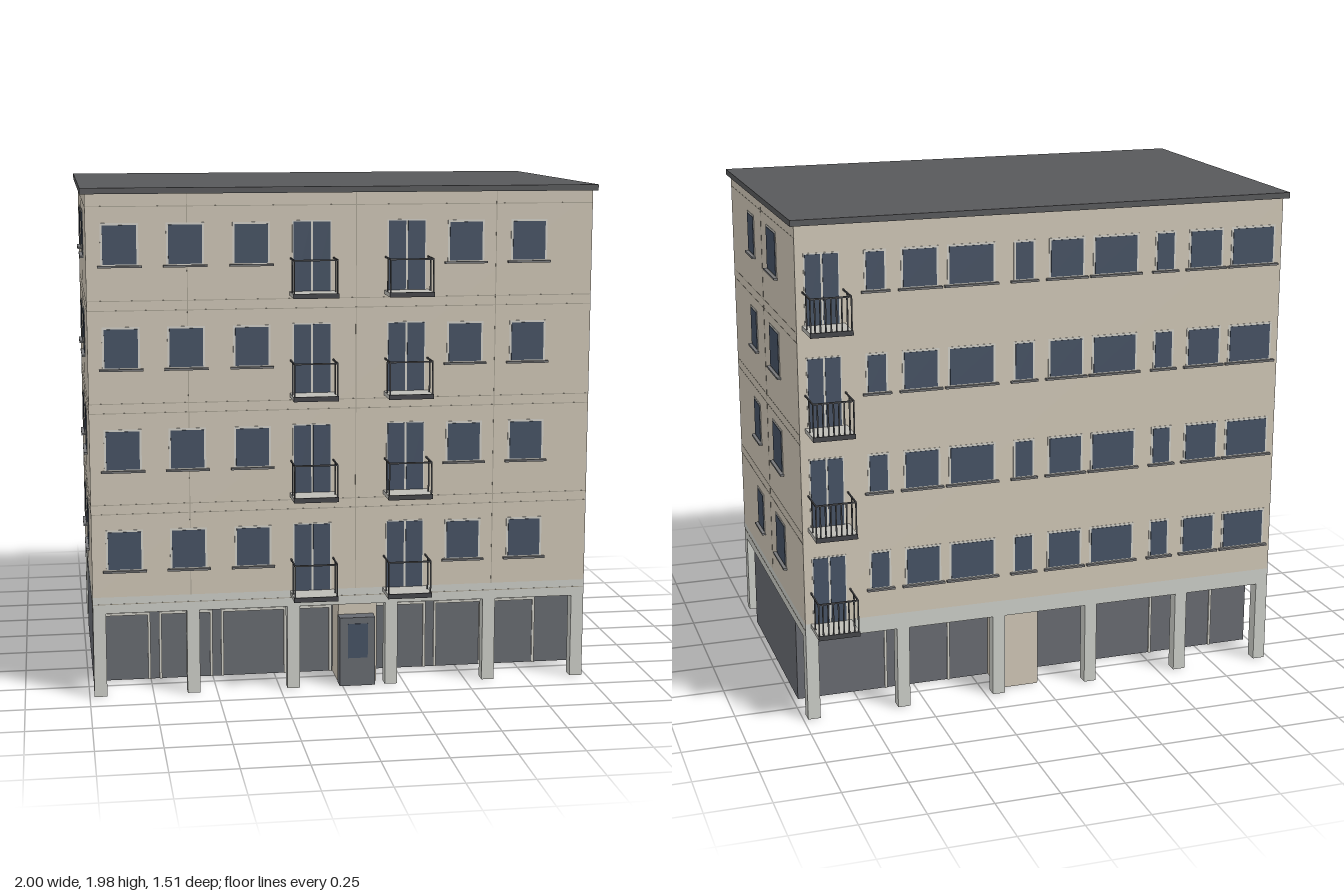
import * as THREE from 'three';

const mat = (color, side = THREE.FrontSide) => new THREE.MeshStandardMaterial({ color, side });
const M = {
  wall: mat(0xcfc6b6), base: mat(0xcccec8), shop: mat(0x686b71, THREE.DoubleSide), roof: mat(0x58595b),
  glass: mat(0x465264), frame: mat(0xd2d0c8), sill: mat(0x77787a), rail: mat(0x4c4d50),
  slab: mat(0xbdbcb6), seam: mat(0xaba596), dark: mat(0x45464a),
};
const HX = 0.982, ZF = 0.635, ZB = -0.62, FLOOR = 0.394, LEVELS = 4;

// Box given by its min / max limits on each axis
function box(parent, name, m, x0, x1, y0, y1, z0, z1) {
  const mesh = new THREE.Mesh(new THREE.BoxGeometry(x1 - x0, y1 - y0, z1 - z0), m);
  mesh.position.set((x0 + x1) / 2, (y0 + y1) / 2, (z0 + z1) / 2);
  mesh.name = name;
  parent.add(mesh);
  return mesh;
}

// Group whose local xy plane lies on a facade, +z pointing outwards
function facade(root, name, x, z, turn) {
  const g = new THREE.Group();
  g.name = name;
  g.position.set(x, 0, z);
  g.rotation.y = turn;
  root.add(g);
  return g;
}

// Framed window with a projecting sill
function windowUnit(g, u0, u1, y0, y1) {
  box(g, 'windowFrame', M.frame, u0 - 0.008, u1 + 0.008, y0 - 0.004, y1 + 0.008, -0.01, 0.002);
  box(g, 'windowGlass', M.glass, u0, u1, y0, y1, -0.01, 0.004);
  box(g, 'windowSill', M.sill, u0 - 0.02, u1 + 0.02, y0 - 0.012, y0 - 0.004, -0.01, 0.015);
}

// Double balcony door
function balconyDoor(g, u0, u1, y0, y1) {
  const mid = (u0 + u1) / 2;
  box(g, 'doorFrame', M.frame, u0 - 0.005, u1 + 0.005, y0, y1 + 0.005, -0.01, 0.002);
  box(g, 'doorGlass', M.glass, u0, mid - 0.004, y0, y1, -0.01, 0.004);
  box(g, 'doorGlass', M.glass, mid + 0.004, u1, y0, y1, -0.01, 0.004);
}

// Balcony slab with railing; bars = number of balusters along the outer side
function balcony(g, u0, u1, y, depth, bars) {
  const b = new THREE.Group();
  b.name = 'balcony';
  g.add(b);
  const top = y + 0.142, t = 0.0025, r = depth - 0.008;
  box(b, 'balconySlab', M.slab, u0, u1, y - 0.002, y + 0.014, 0, depth - 0.004);
  box(b, 'balconyEdge', M.dark, u0, u1, y - 0.003, y + 0.016, depth - 0.004, depth);
  const post = (u, d) => box(b, 'railPost', M.rail, u - t, u + t, y + 0.014, top, d - t, d + t);
  for (const u of [u0 + 0.004, u1 - 0.004]) {
    box(b, 'sideRail', M.rail, u - t, u + t, top - 0.004, top + 0.002, 0, r);
    post(u, r);
    post(u, depth * 0.45);
  }
  box(b, 'frontRail', M.rail, u0 + 0.002, u1 - 0.002, top - 0.004, top + 0.002, r - t, r + t);
  for (let i = 1; i < bars; i++) post(u0 + ((u1 - u0) * i) / bars, r);
}

// Thin panel joints
function seams(g, half, uprights) {
  for (const u of uprights) box(g, 'panelJoint', M.seam, u - 0.0015, u + 0.0015, 0.4, 1.96, -0.005, 0.0008);
  for (let f = 0; f < LEVELS; f++)
    for (const y of [1.91, 1.553])
      box(g, 'panelJoint', M.seam, -half, half, y - f * FLOOR - 0.0015, y - f * FLOOR + 0.0015, -0.005, 0.0008);
}

// Thin portal outline on the shop walls
function portal(g, u0, u1) {
  const h = 0.278, w = 0.01;
  box(g, 'shopFrame', M.frame, u0, u0 + w, 0, h, 0, 0.006);
  box(g, 'shopFrame', M.frame, u1 - w, u1, 0, h, 0, 0.006);
  box(g, 'shopFrame', M.frame, u0 + w, u1 - w, h - w, h, 0, 0.006);
}

// Shop unit, open below
function shopUnit(root, x0, x1) {
  const t = 0.004, z0 = -0.42, z1 = 0.43, h = 0.333;
  box(root, 'shopWall', M.shop, x0, x1, 0, h, z1 - t, z1);
  box(root, 'shopWall', M.shop, x0, x1, 0, h, z0, z0 + t);
  box(root, 'shopWall', M.shop, x0, x0 + t, 0, h, z0 + t, z1 - t);
  box(root, 'shopWall', M.shop, x1 - t, x1, 0, h, z0 + t, z1 - t);
  box(root, 'shopCeiling', M.shop, x0 + t, x1 - t, h - t, h, z0 + t, z1 - t);
}

export function createModel() {
  const root = new THREE.Group();
  root.name = 'apartmentBuilding';

  // Main volume, base band and roof
  box(root, 'upperWalls', M.wall, -HX, HX, 0.4, 1.957, ZB, ZF);
  box(root, 'baseBand', M.base, -HX, HX, 0.335, 0.4, ZB, ZF);
  box(root, 'roof', M.roof, -1, 1, 1.957, 1.98, -0.642, 0.648);

  // Two rows of pillars
  for (const x of [-0.957, -0.592, -0.196, 0.196, 0.592, 0.957])
    for (const z of [ZF - 0.025, ZB + 0.025])
      box(root, 'pillar', M.base, x - 0.025, x + 0.025, 0, 0.335, z - 0.025, z + 0.025);

  // Ground floor: shops on both sides of a through stair core
  shopUnit(root, -0.98, -0.01);
  shopUnit(root, 0.145, 0.98);
  box(root, 'entranceCore', M.wall, -0.01, 0.145, 0, 0.334, -0.42, 0.585);
  box(root, 'backEntrance', M.wall, 0.015, 0.18, 0, 0.334, -0.57, -0.42);
  box(root, 'entranceDoor', M.shop, -0.012, 0.13, 0, 0.28, 0.585, 0.64);
  box(root, 'entranceDoorGlass', M.glass, 0.02, 0.1, 0.115, 0.255, 0.63, 0.643);
  const shopFront = facade(root, 'shopFront', 0, 0.43, 0);
  for (const [a, b] of [[-0.95, -0.75], [-0.715, -0.5], [-0.465, -0.2], [-0.18, -0.015],
    [0.148, 0.375], [0.41, 0.61], [0.625, 0.835]]) portal(shopFront, a, b);
  const shopBack = facade(root, 'shopBack', 0, -0.42, Math.PI);
  for (const [a, b] of [[-0.62, -0.345], [0.535, 0.82]]) portal(shopBack, a, b);

  // Facades
  const front = facade(root, 'frontFacade', 0, ZF, 0);
  const back = facade(root, 'backFacade', 0, ZB, Math.PI);
  const sides = [
    facade(root, 'sideFacade', HX, 0, Math.PI / 2),
    facade(root, 'sideFacade', -HX, 0, -Math.PI / 2),
  ];
  seams(front, HX, [-0.6, 0.05, 0.6]);
  for (const s of sides) seams(s, 0.62, [0]);

  for (let f = 0; f < LEVELS; f++) {
    const y = 0.51 + f * FLOOR;

    // Front: windows and two balconies
    for (const x of [-0.855, -0.607, -0.355, 0.48, 0.73])
      windowUnit(front, x - 0.064, x + 0.064, y, y + 0.148);
    for (const x of [-0.122, 0.247]) {
      balconyDoor(front, x - 0.071, x + 0.071, y - 0.115, y + 0.155);
      balcony(front, x - 0.087, x + 0.087, y - 0.125, 0.12, 0);
    }

    // Back: three groups of narrow, medium and wide windows, one balcony
    for (const u of [-0.715, -0.13, 0.45]) {
      windowUnit(back, u, u + 0.07, y + 0.01, y + 0.152);
      windowUnit(back, u + 0.142, u + 0.272, y + 0.01, y + 0.152);
      windowUnit(back, u + 0.322, u + 0.495, y + 0.01, y + 0.152);
    }
    balconyDoor(back, -0.945, -0.82, y - 0.115, y + 0.155);
    balcony(back, -0.96, -0.798, y - 0.125, 0.135, 8);

    // Sides: a small and a large window
    for (const s of sides) {
      windowUnit(s, -0.27, -0.155, y + 0.01, y + 0.165);
      windowUnit(s, 0.115, 0.28, y + 0.01, y + 0.175);
    }
  }
  // Side facades are slightly off centre in depth
  return root;
}
